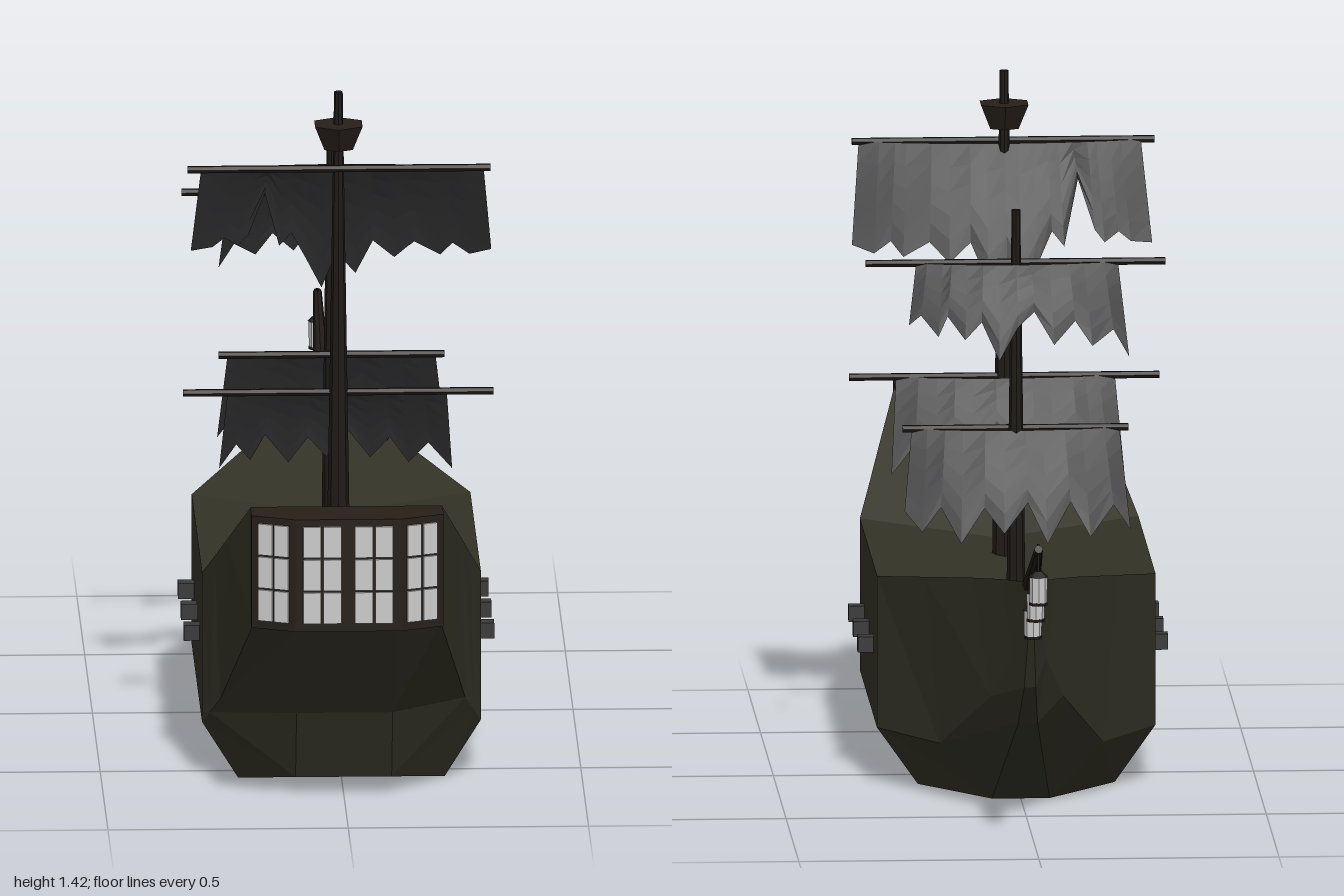
import * as THREE from 'three';

const mat = (color, extra = {}) => new THREE.MeshStandardMaterial({ color, flatShading: true, ...extra });
const hullMat = mat(0x333226);
const trimMat = mat(0x261f1a);
const sparMat = mat(0x1f1a16);
const ironMat = mat(0x3a3a3a);
const glassMat = mat(0xcccccc);
const sailMat = mat(0x343436, { side: THREE.DoubleSide });

function add(parent, name, geometry, material, x = 0, y = 0, z = 0) {
  const mesh = new THREE.Mesh(geometry, material);
  mesh.name = name;
  mesh.position.set(x, y, z);
  parent.add(mesh);
  return mesh;
}

// Tapered round bar between two points
function bar(parent, name, a, b, r0, r1, sides = 8) {
  const from = new THREE.Vector3(...a), to = new THREE.Vector3(...b);
  const dir = to.clone().sub(from);
  const mesh = add(parent, name, new THREE.CylinderGeometry(r1, r0, dir.length(), sides), sparMat);
  mesh.position.copy(from).add(to).multiplyScalar(0.5);
  mesh.quaternion.setFromUnitVectors(new THREE.Vector3(0, 1, 0), dir.normalize());
}

// Hull lofted through stations of deck edge, chine and keel edge, each [half width, y, z];
// the deck sags towards its centre line
function hullGeometry() {
  const stations = [
    [[0.2, 0.66, 0.89], [0.195, 0.42, 0.925], [0.1, 0.42, 0.955]],
    [[0.245, 0.55, 0.725], [0.255, 0.19, 0.646], [0.1, 0.19, 0.77]],
    [[0.267, 0.495, 0.643], [0.275, 0.15, 0.597], [0.1, 0.035, 0.7]],
    [[0.29, 0.44, 0.56], [0.29, 0.12, 0.56], [0.215, 0, 0.56]],
    [[0.29, 0.44, -0.11], [0.29, 0.12, -0.11], [0.205, 0, -0.11]],
    [[0.2, 0.47, -0.29], [0.17, 0.12, -0.3], [0.06, 0, -0.29]],
    [[0.11, 0.5, -0.47], [0.075, 0.26, -0.53], [0.02, 0.21, -0.57]],
    [[0.055, 0.52, -0.6], [0.035, 0.36, -0.63], [0.012, 0.3, -0.65]],
    [[0.008, 0.535, -0.72], [0.008, 0.48, -0.712], [0.006, 0.42, -0.7]],
  ];
  const n = 7, pos = [], index = [];
  for (const s of stations) {
    for (const [w, y, z] of s) pos.push(w, y, z);
    for (const [w, y, z] of [...s].reverse()) pos.push(-w, y, z);
    pos.push(0, s[0][1] - 0.15 * s[0][0], s[0][2]);
  }
  const last = (stations.length - 1) * n;
  for (let i = 0; i < last; i += n) {
    for (let j = 0; j < n; j++) {
      const k = (j + 1) % n;
      index.push(i + j, i + k, i + n + k, i + j, i + n + k, i + n + j);
    }
  }
  for (let k = 0; k < 5; k++) index.push(6, k + 1, k, last + 6, last + k, last + k + 1);
  const g = new THREE.BufferGeometry();
  g.setAttribute('position', new THREE.Float32BufferAttribute(pos, 3));
  g.setIndex(index);
  const flat = g.toNonIndexed();
  flat.computeVertexNormals();
  return flat;
}

// Stern gallery with a bowed, three-sided window front
function gallery() {
  const g = new THREE.Group();
  g.name = 'sternGallery';
  const plan = new THREE.Shape([[-0.2, -0.88], [-0.2, -0.955], [-0.11, -0.994], [0.11, -0.994],
    [0.2, -0.955], [0.2, -0.88]].map(p => new THREE.Vector2(...p)));
  const body = new THREE.ExtrudeGeometry(plan, { depth: 0.24, bevelEnabled: false });
  body.rotateX(-Math.PI / 2);
  add(g, 'galleryBody', body, trimMat, 0, 0.42, 0);
  const zAt = x => (x <= 0.11 ? 0.994 : 0.994 - (x - 0.11) * 0.433);
  for (const side of [-1, 1]) {
    [0.033, 0.075, 0.138, 0.171].forEach((x, i) => {
      const w = i < 2 ? 0.037 : 0.031;
      for (let row = 0; row < 3; row++) {
        const pane = add(g, 'windowPane', new THREE.BoxGeometry(w, 0.066, 0.006), glassMat,
          side * x, 0.471 + row * 0.0705, zAt(x) + 0.002);
        if (i > 1) pane.rotation.y = side * 0.409;
      }
    });
  }
  return g;
}

// Ragged sail; hem lists [x, drop] from its right to its left edge, lean is the forward sweep
function sail(parent, { y, z, hem, scale, lean, bulge }) {
  const rows = 5, pos = [], index = [], n = hem.length;
  const half = Math.max(...hem.map(h => Math.abs(h[0])));
  for (let r = 0; r <= rows; r++) {
    const t = r / rows;
    for (const [x, drop] of hem) {
      const belly = bulge * (1 - (x / half) ** 2) * Math.sin(Math.PI * (0.25 + 0.4 * t));
      pos.push(x * (scale + (1 - scale) * t), y - drop * t, z - lean * drop * t - belly);
    }
  }
  for (let r = 0; r < rows; r++) {
    for (let c = 0; c < n - 1; c++) {
      const a = r * n + c, b = a + n;
      index.push(a, b, b + 1, a, b + 1, a + 1);
    }
  }
  const g = new THREE.BufferGeometry();
  g.setAttribute('position', new THREE.Float32BufferAttribute(pos, 3));
  g.setIndex(index);
  g.computeVertexNormals();
  add(parent, 'sail', g, sailMat);
}

function rig(name, z, top, r0, r1, sails) {
  const g = new THREE.Group();
  g.name = name;
  bar(g, 'mast', [0, 0.38, z], [0, top, z], r0, r1);
  for (const s of sails) {
    bar(g, 'yard', [-s.yard, s.y, s.z], [s.yard, s.y, s.z], 0.008, 0.008, 6);
    sail(g, s);
  }
  return g;
}

export function createModel() {
  const ship = new THREE.Group();
  ship.name = 'ship';
  add(ship, 'hull', hullGeometry(), hullMat);
  ship.add(gallery());

  // Main mast with its two sails and lookout
  const main = rig('mainMast', 0.365, 1.42, 0.025, 0.009, [
    { y: 1.265, z: 0.405, yard: 0.315, scale: 0.94, lean: 0.5, bulge: 0.055,
      hem: [[-0.305, 0.2], [-0.26, 0.195], [-0.235, 0.175], [-0.205, 0.195], [-0.185, 0.17], [-0.152, 0.07],
        [-0.12, 0.2], [-0.095, 0.17], [-0.065, 0.23], [-0.03, 0.305], [0, 0.22], [0.04, 0.27], [0.075, 0.19],
        [0.12, 0.23], [0.16, 0.19], [0.215, 0.22], [0.24, 0.19], [0.275, 0.215], [0.32, 0.2]] },
    { y: 0.775, z: 0.36, yard: 0.323, scale: 0.94, lean: 0.5, bulge: 0.04,
      hem: [[-0.245, 0.185], [-0.21, 0.13], [-0.18, 0.17], [-0.15, 0.11], [-0.1, 0.18], [-0.06, 0.12], [-0.02, 0.17],
        [0.02, 0.1], [0.07, 0.17], [0.11, 0.12], [0.15, 0.18], [0.19, 0.13], [0.24, 0.19]] },
  ]);
  add(main, 'lookout', new THREE.CylinderGeometry(0.057, 0.034, 0.052, 6), trimMat, 0, 1.325, 0.365);
  ship.add(main);

  // Fore mast
  ship.add(rig('foreMast', -0.1, 1.21, 0.02, 0.009, [
    { y: 1.095, z: -0.08, yard: 0.312, scale: 0.92, lean: 0.5, bulge: 0.045,
      hem: [[-0.232, 0.185], [-0.2, 0.13], [-0.155, 0.16], [-0.12, 0.11], [-0.075, 0.155], [-0.035, 0.09], [0.0, 0.12],
        [0.04, 0.185], [0.075, 0.11], [0.11, 0.145], [0.145, 0.1], [0.165, 0.14], [0.2, 0.1], [0.225, 0.12]] },
    { y: 0.745, z: -0.08, yard: 0.235, scale: 0.92, lean: 0.48, bulge: 0.045,
      hem: [[-0.235, 0.2], [-0.2, 0.15], [-0.15, 0.21], [-0.11, 0.14], [-0.06, 0.22], [-0.02, 0.14], [0.03, 0.2],
        [0.07, 0.15], [0.12, 0.22], [0.16, 0.15], [0.2, 0.2], [0.235, 0.16]] },
  ]));

  // Guns along both sides
  for (const side of [-1, 1]) {
    for (const z of [0.39, 0.212, 0.032]) {
      add(ship, 'gun', new THREE.BoxGeometry(0.06, 0.033, 0.033), ironMat, side * 0.293, 0.272, z);
    }
  }

  // Bowsprit with hanging lanterns
  bar(ship, 'bowsprit', [0, 0.514, -0.67], [0, 0.653, -0.988], 0.02, 0.009);
  for (const [y, z] of [[0.457, -0.764], [0.513, -0.873], [0.566, -0.977]]) {
    const lantern = new THREE.Group();
    lantern.name = 'lantern';
    lantern.position.set(0, y, z);
    add(lantern, 'lanternGlass', new THREE.CylinderGeometry(0.019, 0.018, 0.056, 8), glassMat);
    add(lantern, 'lanternBase', new THREE.CylinderGeometry(0.019, 0.019, 0.006, 8), sparMat, 0, -0.03, 0);
    add(lantern, 'lanternCap', new THREE.CylinderGeometry(0.008, 0.021, 0.012, 8), sparMat, 0, 0.033, 0);
    add(lantern, 'lanternHook', new THREE.CylinderGeometry(0.003, 0.003, 0.06, 5), sparMat, 0, 0.066, 0);
    ship.add(lantern);
  }
  return ship;
}
